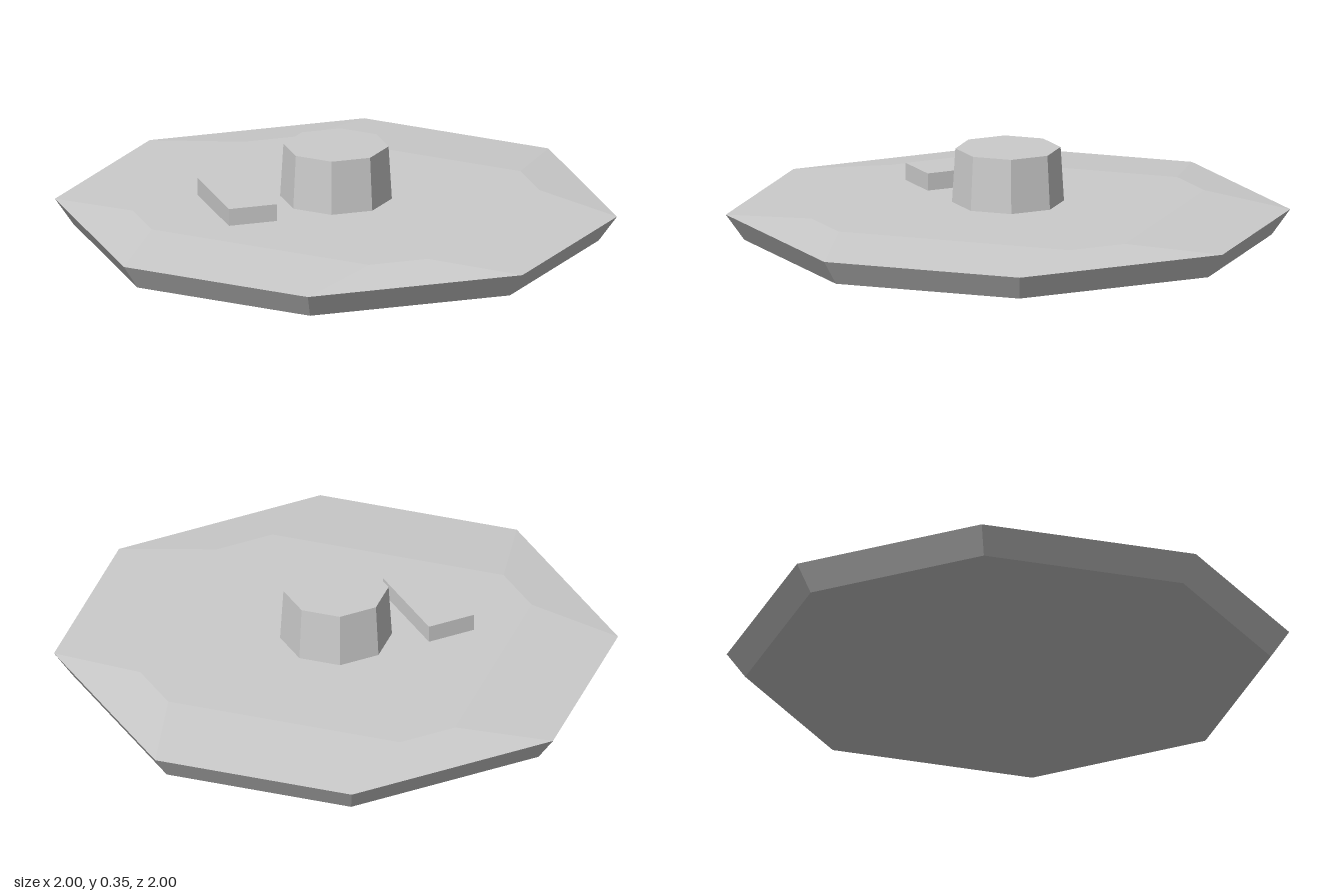
import * as THREE from 'three';

const material = new THREE.MeshStandardMaterial({ color: 0xcccccc, flatShading: true });

// Octagon with sides at distance r; c is half the length of the axis-aligned sides
function octagon(r, c, y) {
  return [[r, c], [r, -c], [c, -r], [-c, -r], [-r, -c], [-r, c], [-c, r], [c, r]]
    .map(([x, z]) => [x, y, z]);
}

// Closed solid through a stack of octagons, listed from bottom to top
function loft(name, sections) {
  const rings = sections.map((s) => octagon(...s));
  const pos = [];
  const tri = (a, b, c) => pos.push(...a, ...b, ...c);
  const bottom = rings[0];
  const top = rings[rings.length - 1];
  for (let i = 0; i < 8; i++) {
    const j = (i + 1) % 8;
    for (let k = 0; k < rings.length - 1; k++) {
      const lo = rings[k], hi = rings[k + 1];
      tri(lo[i], lo[j], hi[j]);
      tri(lo[i], hi[j], hi[i]);
    }
    tri([0, top[0][1], 0], top[i], top[j]);
    tri([0, bottom[0][1], 0], bottom[j], bottom[i]);
  }
  const geometry = new THREE.BufferGeometry();
  geometry.setAttribute('position', new THREE.Float32BufferAttribute(pos, 3));
  geometry.computeVertexNormals();
  const mesh = new THREE.Mesh(geometry, material);
  mesh.name = name;
  return mesh;
}

export function createModel() {
  const group = new THREE.Group();
  group.name = 'octagonalPlatform';

  // Wide base: undercut rim below, shallow slope up to a flat deck
  group.add(loft('base', [[0.935, 0.405, 0], [1, 0.435, 0.1], [0.785, 0.12, 0.13]]));

  // Slightly tapered hub hovering just above the deck
  group.add(loft('hub', [[0.2, 0.083, 0.143], [0.188, 0.078, 0.355]]));

  // Low block beside the hub
  const block = new THREE.Mesh(new THREE.BoxGeometry(0.195, 0.068, 0.395), material);
  block.name = 'sideBlock';
  block.position.set(-0.4, 0.174, 0);
  group.add(block);

  return group;
}
